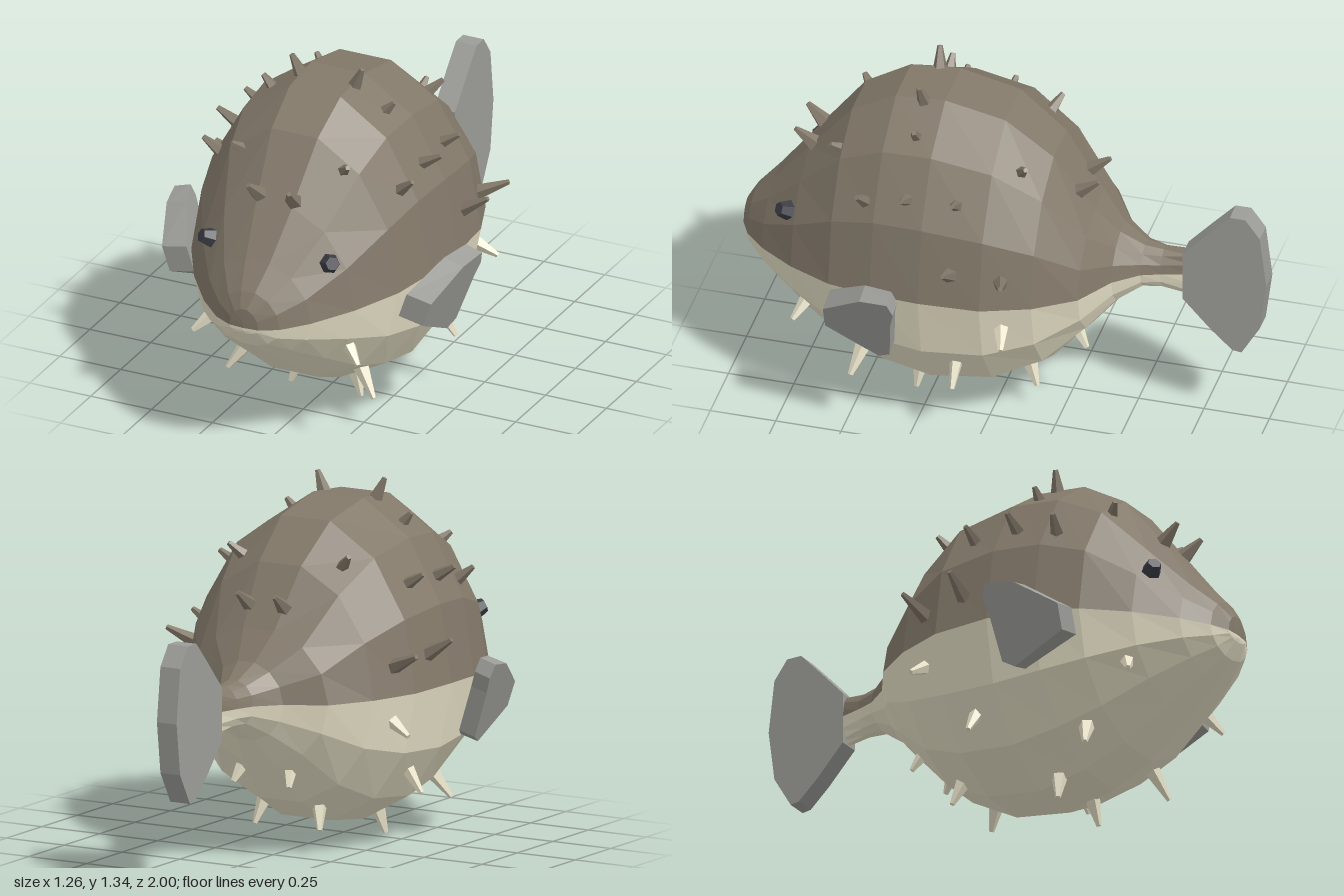
import * as THREE from 'three';

const mat = (color) => new THREE.MeshStandardMaterial({ color, flatShading: true });
const brown = mat(0x83796a), cream = mat(0xe8e2c8), grey = mat(0x9c9d98), dark = mat(0x3c3d45);

// Body stations from nose to tail: z, half width, top, seam and bottom heights
const STATIONS = [
  [1.0, 0, 0.57, 0.555, 0.545], [0.995, 0.06, 0.63, 0.555, 0.53], [0.96, 0.13, 0.69, 0.557, 0.47],
  [0.88, 0.22, 0.78, 0.567, 0.405], [0.74, 0.33, 0.96, 0.583, 0.30], [0.57, 0.425, 1.18, 0.6, 0.175],
  [0.4, 0.47, 1.28, 0.613, 0.1], [0.21, 0.49, 1.295, 0.62, 0.055], [-0.02, 0.475, 1.245, 0.618, 0.09],
  [-0.2, 0.405, 1.1, 0.615, 0.19], [-0.35, 0.3, 0.875, 0.612, 0.36], [-0.44, 0.16, 0.765, 0.615, 0.465],
  [-0.53, 0.088, 0.71, 0.617, 0.53], [-0.6, 0.062, 0.70, 0.617, 0.53], [-0.72, 0.03, 0.71, 0.617, 0.505],
];
const SEG = 7;

// Half shell lofted through the stations, above or below the seam
function shell(upper) {
  const pos = [], idx = [];
  for (const [z, w, top, seam, bottom] of STATIONS) {
    const h = upper ? top - seam : seam - bottom;
    for (let j = 0; j <= SEG; j++) {
      const a = (j / SEG + (upper ? 0 : 1)) * Math.PI;
      pos.push(w * Math.cos(a), seam + h * Math.sin(a), z);
    }
  }
  for (let i = 0; i < STATIONS.length - 1; i++) {
    for (let j = 0; j < SEG; j++) {
      const a = i * (SEG + 1) + j, c = a + SEG + 1;
      idx.push(a, c, a + 1, a + 1, c, c + 1);
    }
  }
  const g = new THREE.BufferGeometry();
  g.setAttribute('position', new THREE.Float32BufferAttribute(pos, 3));
  g.setIndex(idx);
  g.computeVertexNormals();
  return g;
}

// Slab with a (z, y) outline, extruded along x from 0 to depth
function slab(outline, depth) {
  const shape = new THREE.Shape(outline.map(([z, y]) => new THREE.Vector2(-z, y)));
  return new THREE.ExtrudeGeometry(shape, { depth, bevelEnabled: false }).rotateY(Math.PI / 2);
}

// Tapered spike between two points
function spike(base, tip) {
  const a = new THREE.Vector3(...base), b = new THREE.Vector3(...tip);
  const dir = b.clone().sub(a).normalize();
  a.addScaledVector(dir, -0.03);
  const len = a.distanceTo(b);
  const g = new THREE.CylinderGeometry(0.01, 0.034, len, 5).translate(0, len / 2, 0);
  g.applyQuaternion(new THREE.Quaternion().setFromUnitVectors(new THREE.Vector3(0, 1, 0), dir));
  return g.translate(a.x, a.y, a.z);
}

// Spikes of the left side: base, tip
const BACK_SPIKES = [
  [[0.11, 1.26, 0.29], [0.145, 1.34, 0.3]],
  [[0.22, 1.17, 0.285], [0.27, 1.225, 0.285]],
  [[0.36, 0.99, 0.28], [0.46, 1.045, 0.28]],
  [[0.35, 0.99, 0.095], [0.44, 1.045, 0.09]],
  [[0.36, 0.95, 0.44], [0.43, 1.01, 0.46]],
  [[0.46, 0.75, 0.095], [0.56, 0.81, 0.095]],
  [[0.43, 0.73, -0.09], [0.54, 0.78, -0.12]],
  [[0.2, 1.07, -0.1], [0.26, 1.13, -0.14]],
  [[0.075, 0.95, -0.3], [0.08, 1.0, -0.37]],
  [[0.2, 1.055, 0.575], [0.24, 1.095, 0.615]],
  [[0.075, 0.985, 0.74], [0.085, 1.03, 0.79]],
];
const BELLY_SPIKES = [
  [[0.12, 0.09, 0.3], [0.145, 0.005, 0.31]],
  [[0.24, 0.21, 0.49], [0.3, 0.12, 0.52]],
  [[0.28, 0.415, 0.69], [0.34, 0.355, 0.73]],
  [[0.36, 0.32, 0.095], [0.43, 0.22, 0.095]],
  [[0.12, 0.17, -0.12], [0.14, 0.09, -0.15]],
  [[0.1, 0.35, -0.29], [0.12, 0.28, -0.335]],
  [[0.42, 0.52, -0.09], [0.5, 0.475, -0.11]],
];

const SIDE_FIN = [[0.555, 0.585], [0.4, 0.685], [0.29, 0.7], [0.27, 0.65], [0.285, 0.59],
  [0.305, 0.415], [0.35, 0.39], [0.555, 0.49]];
const TAIL_FIN = [[-0.68, 0.71], [-0.78, 0.82], [-0.86, 0.905], [-0.92, 0.905], [-0.975, 0.83], [-1, 0.625],
  [-0.975, 0.43], [-0.905, 0.31], [-0.87, 0.315], [-0.79, 0.39], [-0.68, 0.51]];

// Side fin leaning outward at the top and rear, thicker at the front
function sideFin(side) {
  const g = slab(SIDE_FIN, 1), p = g.attributes.position;
  for (let i = 0; i < p.count; i++) {
    const y = p.getY(i), z = p.getZ(i);
    const inward = side > 0 ? 1 - p.getX(i) : p.getX(i);
    const outer = 0.63 + 0.34 * (y - 0.69) - 0.15 * (z - 0.28);
    p.setX(i, side * (outer - inward * (0.065 + 0.13 * (z - 0.28))));
    p.setY(i, y + 0.02 * (inward - 0.5));
  }
  g.computeVertexNormals();
  return g;
}

export function createModel() {
  const model = new THREE.Group();
  const add = (name, geometry, material, parent = model) => {
    const mesh = new THREE.Mesh(geometry, material);
    mesh.name = name;
    parent.add(mesh);
    return mesh;
  };

  add('upperBody', shell(true), brown);
  add('belly', shell(false), cream);
  add('tailFin', slab(TAIL_FIN, 0.085).translate(-0.0425, 0, 0), grey);

  const backSpikes = new THREE.Group(), bellySpikes = new THREE.Group();
  backSpikes.name = 'backSpikes';
  bellySpikes.name = 'bellySpikes';
  model.add(backSpikes, bellySpikes);

  for (const side of [1, -1]) {
    const label = side > 0 ? 'left' : 'right';
    const flip = ([x, y, z]) => [side * x, y, z];
    add(label + 'Fin', sideFin(side), grey);
    for (const [b, t] of BACK_SPIKES) add(label + 'BackSpike', spike(flip(b), flip(t)), brown, backSpikes);
    for (const [b, t] of BELLY_SPIKES) add(label + 'BellySpike', spike(flip(b), flip(t)), cream, bellySpikes);

    // Six-sided eye facing out, up and forward
    const eye = add(label + 'Eye', new THREE.CylinderGeometry(0.026, 0.04, 0.05, 6), dark);
    eye.position.set(side * 0.255, 0.78, 0.785);
    eye.quaternion.setFromUnitVectors(new THREE.Vector3(0, 1, 0), new THREE.Vector3(side * 0.6, 0.4, 0.69).normalize());
  }
  return model;
}
